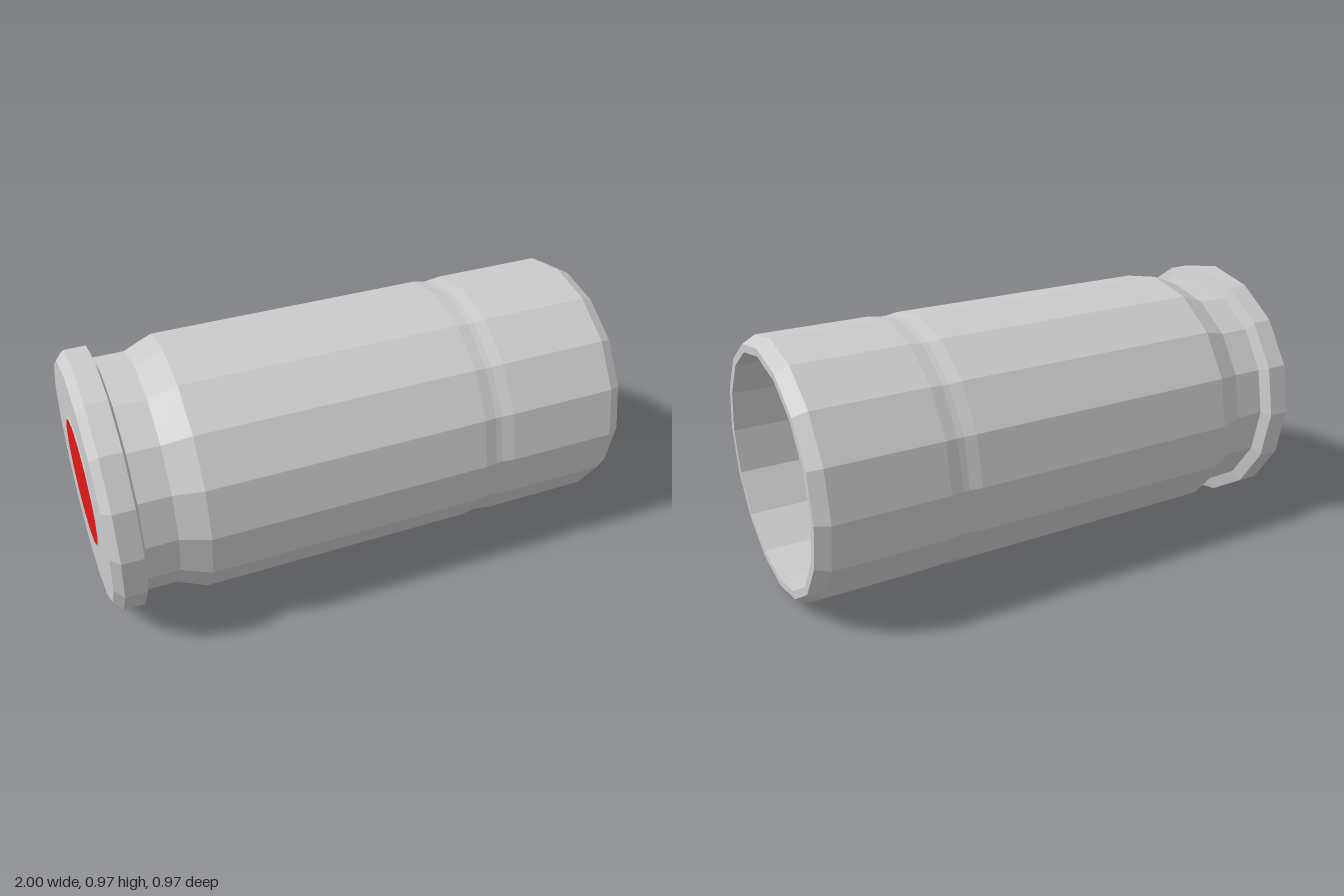
import * as THREE from 'three';

const SIDES = 16;
const RADIUS = 0.487;

// Faceted solid of revolution lying along x; profile is [x, radius] pairs
function turned(name, profile, color) {
  const points = profile.map(([x, r]) => new THREE.Vector2(r, x));
  const geometry = new THREE.LatheGeometry(points, SIDES);
  geometry.rotateZ(-Math.PI / 2);
  const mesh = new THREE.Mesh(geometry, new THREE.MeshStandardMaterial({ color, flatShading: true }));
  mesh.name = name;
  mesh.position.y = RADIUS;
  return mesh;
}

export function createModel() {
  const group = new THREE.Group();
  group.name = 'cartridgeCase';

  // Hollow case: rear face, rim, extractor groove, body, crimp, mouth, bore
  group.add(turned('case', [
    [-0.996, 0], [-0.996, 0.45],
    [-0.965, RADIUS], [-0.885, RADIUS],
    [-0.872, 0.44], [-0.755, 0.44],
    [-0.65, 0.483], [0.41, 0.483],
    [0.455, 0.476], [0.48, 0.476],
    [0.525, 0.483], [0.95, 0.483],
    [1, 0.457], [1, 0.428],
    [-0.85, 0.428], [-0.85, 0],
  ], 0xcccccc));

  // Slightly raised bevelled ring around the primer
  group.add(turned('primerRing', [[-0.996, 0.253], [-1, 0.238]].reverse(), 0xcccccc));

  // Coloured primer disc
  group.add(turned('primer', [[-1, 0], [-1, 0.238]], 0xe21818));

  return group;
}
